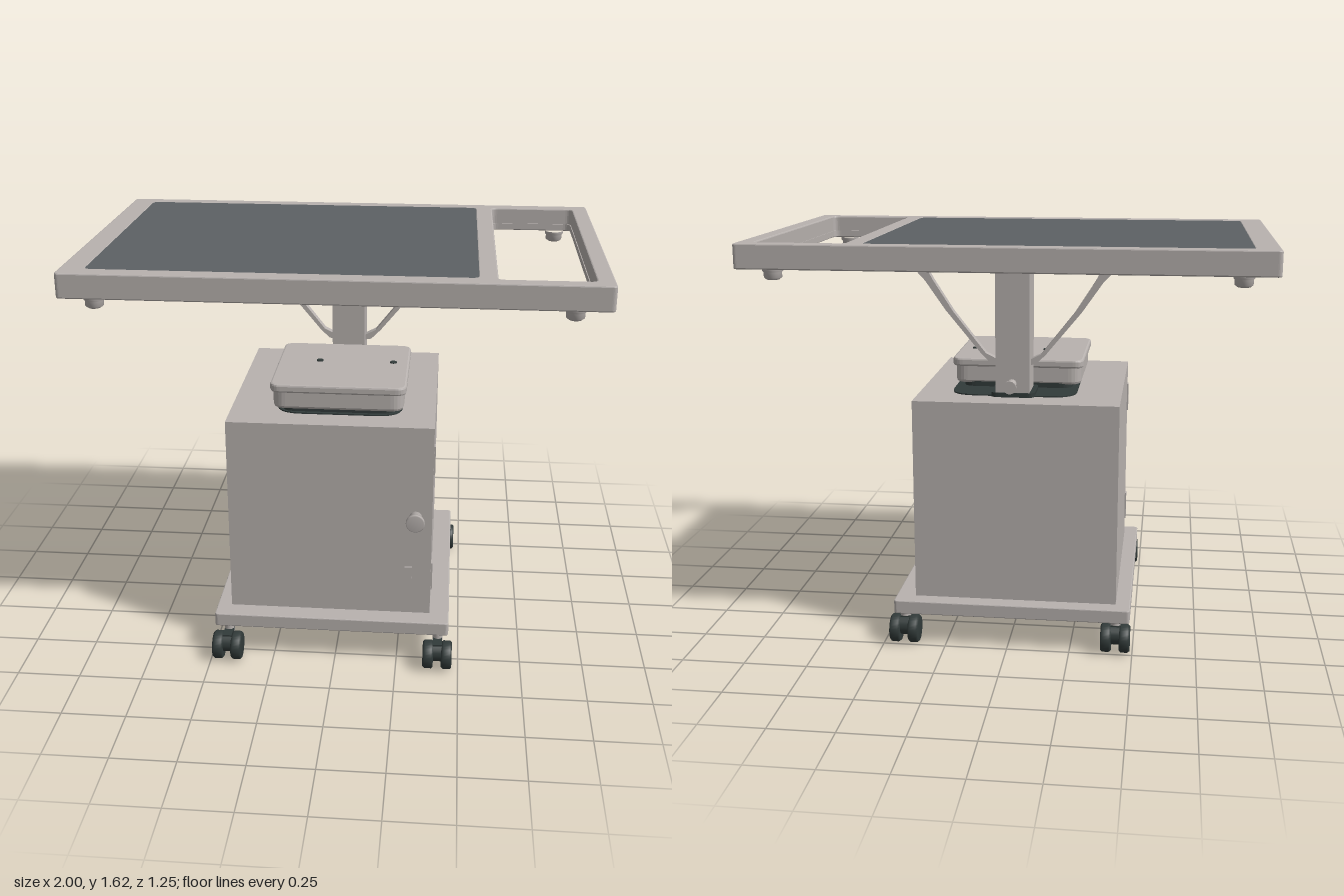
import * as THREE from 'three';

const mat = (name, color) => {
  const m = new THREE.MeshStandardMaterial({ color });
  m.name = name;
  return m;
};

// Rounded rectangle outline, drawn in x and -z
function outline(target, [x0, x1, z0, z1], r) {
  const a = -z1, b = -z0;
  target.moveTo(x0 + r, a);
  target.lineTo(x1 - r, a);
  target.quadraticCurveTo(x1, a, x1, a + r);
  target.lineTo(x1, b - r);
  target.quadraticCurveTo(x1, b, x1 - r, b);
  target.lineTo(x0 + r, b);
  target.quadraticCurveTo(x0, b, x0, b - r);
  target.lineTo(x0, a + r);
  target.quadraticCurveTo(x0, a, x0 + r, a);
  return target;
}

// Horizontal slab with rounded corners, optional holes and bevelled rim
function slab(rect, y0, y1, r, holes = [], bevel = 0) {
  const [x0, x1, z0, z1] = rect;
  const shape = outline(new THREE.Shape(), [x0 + bevel, x1 - bevel, z0 + bevel, z1 - bevel], r);
  holes.forEach(h => shape.holes.push(outline(new THREE.Path(), h, 0.03)));
  const geo = new THREE.ExtrudeGeometry(shape, {
    depth: y1 - y0 - 2 * bevel, curveSegments: 6, bevelEnabled: bevel > 0,
    bevelSize: bevel, bevelThickness: bevel, bevelSegments: 2,
  });
  return geo.rotateX(-Math.PI / 2).translate(0, y0 + bevel, 0);
}

const box = (x0, x1, y0, y1, z0, z1) =>
  new THREE.BoxGeometry(x1 - x0, y1 - y0, z1 - z0)
    .translate((x0 + x1) / 2, (y0 + y1) / 2, (z0 + z1) / 2);

export function createModel() {
  const root = new THREE.Group();
  root.name = 'rollingTableCart';
  const light = mat('warmGreyMetal', 0xb8b2af);
  const slate = mat('slatePanel', 0x5d6164);
  const dark = mat('darkRubber', 0x323b3a);

  const add = (name, geo, material, parent = root) => {
    const m = new THREE.Mesh(geo, material);
    m.name = name;
    parent.add(m);
    return m;
  };

  // Table top: frame with a panel bay and an open bay
  const panelBay = [-0.91, 0.525, -0.575, 0.555];
  const openBay = [0.585, 0.94, -0.575, 0.57];
  add('tableFrame', slab([-1, 1, -0.63, 0.625], 1.53, 1.625, 0.012, [panelBay, openBay], 0.005), light);
  add('tablePanel', slab(panelBay, 1.575, 1.624, 0.03), slate);
  add('openBayLedge', slab([0.583, 0.942, -0.577, 0.572], 1.535, 1.56, 0.03, [[0.592, 0.932, -0.566, 0.561]]), light);
  add('mountingPlate', slab([-0.45, 0.43, -0.48, 0.34], 1.55, 1.576, 0.05), light);

  // Small feet under the table corners
  for (const x of [-0.87, 0.865]) for (const z of [-0.572, 0.575]) {
    const foot = new THREE.LatheGeometry([
      [0, 1.488], [0.024, 1.488], [0.034, 1.496], [0.034, 1.515], [0.039, 1.52], [0.039, 1.532],
    ].map(p => new THREE.Vector2(...p)), 20);
    add('tableFoot', foot.translate(x, 0, z), light);
  }

  // Column with its base and rear adjuster
  add('column', box(-0.07, 0.065, 1.01, 1.555, -0.315, -0.165), light);
  add('columnGasket', slab([-0.09, 0.085, -0.32, -0.15], 1.0, 1.018, 0.03), dark);
  const peg = new THREE.CylinderGeometry(0.019, 0.019, 0.075, 16).rotateX(Math.PI / 2);
  add('adjusterStem', peg.translate(0, 1.054, -0.345), light);
  const cap = new THREE.CylinderGeometry(0.026, 0.026, 0.014, 16).rotateX(Math.PI / 2);
  add('adjusterCap', cap.translate(0, 1.054, -0.382), light);

  // Slanted braces on both sides of the column
  for (const s of [-1, 1]) {
    const pts = [[0.06, 1.12], [0.09, 1.125], [0.13, 1.165], [0.27, 1.335], [0.35, 1.45],
      [0.42, 1.525], [0.42, 1.552], [0.36, 1.552], [0.355, 1.52], [0.32, 1.455],
      [0.24, 1.33], [0.11, 1.165], [0.06, 1.14]];
    const shape = new THREE.Shape(pts.map(([x, y]) => new THREE.Vector2(s * x, y)));
    const geo = new THREE.ExtrudeGeometry(shape, { depth: 0.035, bevelEnabled: false });
    add('brace', geo.translate(0, 0, -0.265), light);
  }

  // Tray unit on the cabinet
  add('trayShadowPlate', slab([-0.25, 0.25, -0.3, 0.345], 1.0, 1.005, 0.1), dark);
  add('trayGasket', slab([-0.225, 0.22, -0.15, 0.33], 1.0, 1.025, 0.05), dark);
  add('trayBody', slab([-0.26, 0.255, -0.152, 0.347], 1.018, 1.1, 0.04, [], 0.012), light);
  add('trayRim', slab([-0.27, 0.265, -0.162, 0.357], 1.088, 1.122, 0.035, [], 0.008), light);
  for (const x of [-0.1, 0.2]) {
    const dot = new THREE.CylinderGeometry(0.014, 0.014, 0.006, 14);
    add('trayButton', dot.translate(x, 1.123, 0.06), dark);
  }

  // Cabinet with door knob, handle strip and hinges
  add('cabinet', box(-0.43, 0.38, 0.185, 1.0, -0.427, 0.455), light);
  const knob = new THREE.LatheGeometry([
    [0, 0], [0.026, 0], [0.026, 0.045], [0.037, 0.047], [0.037, 0.058], [0.033, 0.062], [0, 0.062],
  ].map(p => new THREE.Vector2(...p)), 24);
  add('doorKnob', knob.rotateX(Math.PI / 2).translate(0.315, 0.62, 0.453), light);
  add('handleStrip', box(0.275, 0.305, 0.28, 0.4, 0.45, 0.462), light);
  for (const y of [0.34, 0.85]) {
    add('rightHinge', box(0.375, 0.386, y - 0.06, y + 0.06, 0.39, 0.42), light);
    add('leftHinge', box(-0.436, -0.425, y - 0.06, y + 0.06, 0.39, 0.42), light);
  }

  // Base platform
  add('basePlatform', slab([-0.488, 0.458, -0.493, 0.535], 0.135, 0.19, 0.01, [], 0.004), light);

  // Twin-wheel casters
  for (const x of [-0.432, 0.416]) for (const z of [-0.465, 0.56]) {
    const caster = new THREE.Group();
    caster.name = 'caster';
    caster.position.set(x, 0.064, z);
    root.add(caster);
    for (const s of [-1, 1]) {
      const w = [[0, -0.021], [0.05, -0.021], [0.057, -0.014], [0.057, 0.012], [0.05, 0.021], [0, 0.021]];
      const wheel = new THREE.LatheGeometry(w.map(p => new THREE.Vector2(...p)), 28);
      add('wheel', wheel.rotateZ(Math.PI / 2).translate(s * 0.037, 0, 0), dark, caster);
    }
    const hub = new THREE.CylinderGeometry(0.04, 0.04, 0.036, 20).rotateZ(Math.PI / 2);
    add('casterHub', hub.translate(0, 0.015, 0), dark, caster);
    const off = z > 0 ? -0.045 : 0.005;
    add('casterNeck', box(-0.018, 0.018, 0.02, 0.056, Math.min(off, 0) - 0.015, 0.02), dark, caster);
    const stem = new THREE.CylinderGeometry(0.02, 0.02, 0.04, 16);
    add('casterStem', stem.translate(0, 0.058, off), light, caster);
  }
  return root;
}
